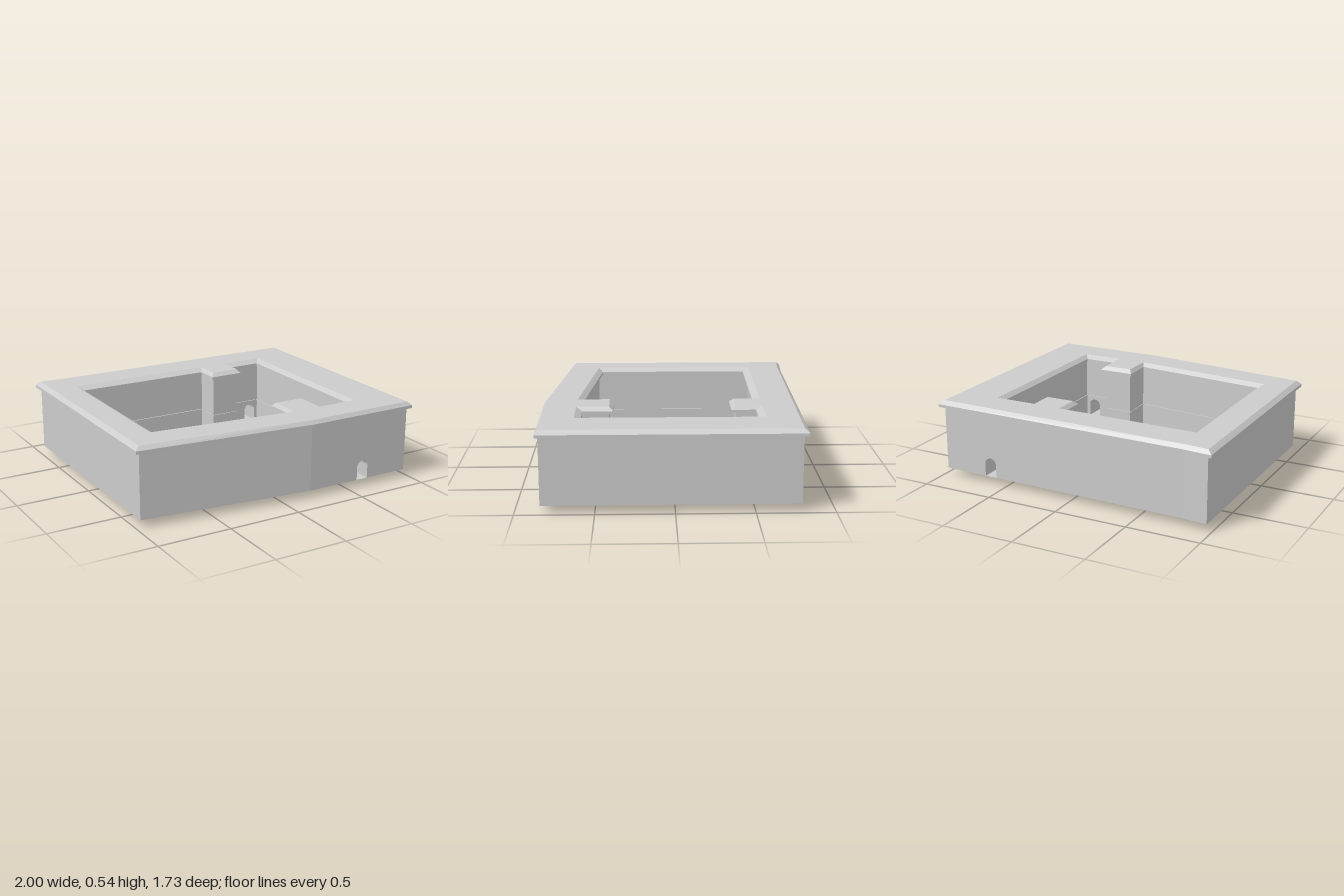
import * as THREE from 'three';

const material = new THREE.MeshStandardMaterial({ color: 0xcccccc, flatShading: true, side: THREE.DoubleSide });

// Plan outlines as [x, z]
const wallOut = [[-0.97, -0.84], [-0.8, -0.825], [0.97, -0.79], [0.97, 0.84], [0.2, 0.84], [-0.97, 0.71]];
const lipOut = [[-1, -0.865], [-0.8, -0.85], [1, -0.82], [1, 0.86], [0.2, 0.86], [-1, 0.735]];
const wallIn = [[-0.8, -0.605], [0.2, -0.59], [0.2, -0.415], [0.395, -0.415], [0.395, -0.585], [0.685, -0.585],
  [0.685, 0.635], [0.4, 0.635], [0.4, 0.42], [0.2, 0.42], [0.2, 0.635], [-0.8, 0.53]];
const lipIn = [[-0.76, -0.56], [0.175, -0.545], [0.175, -0.385], [0.412, -0.385], [0.412, -0.545], [0.655, -0.545],
  [0.655, 0.595], [0.428, 0.595], [0.428, 0.392], [0.18, 0.392], [0.18, 0.6], [-0.76, 0.5]];
const pit = [wallIn[0], wallIn[1], wallIn[10], wallIn[11]];

const FLOOR = 0.05, UNDER = 0.49, LIP = 0.51, TOP = 0.535, LEDGE = 0.2;
const arch = { x: 0.617, r: 0.0425, spring: 0.1375 };

const at = (poly, y) => poly.map(([x, z]) => new THREE.Vector3(x, y, z));

function add(parent, name, geometry) {
  const mesh = new THREE.Mesh(geometry, material);
  mesh.name = name;
  parent.add(mesh);
}

// Quads joining two rows of points
function strip(a, b, closed = true) {
  const pts = [];
  const n = closed ? a.length : a.length - 1;
  for (let i = 0; i < n; i++) {
    const j = (i + 1) % a.length;
    pts.push(a[i], b[i], b[j], a[i], b[j], a[j]);
  }
  const g = new THREE.BufferGeometry().setFromPoints(pts);
  g.computeVertexNormals();
  return g;
}

// Horizontal sheet with an optional hole
function sheet(outline, y, hole) {
  const shape = new THREE.Shape(outline.map(([x, z]) => new THREE.Vector2(x, -z)));
  if (hole) shape.holes.push(new THREE.Path(hole.map(([x, z]) => new THREE.Vector2(x, -z))));
  return new THREE.ShapeGeometry(shape).rotateX(-Math.PI / 2).translate(0, y, 0);
}

// Upright wall panel from a to b, optionally cut by the arched opening
function panel(a, b, y0, y1, cut) {
  const dx = b[0] - a[0], dz = b[1] - a[1], len = Math.hypot(dx, dz);
  const s = new THREE.Shape();
  s.moveTo(0, y0);
  if (cut) {
    const u = (arch.x - a[0]) / dx * len;
    s.lineTo(u - arch.r, y0);
    s.lineTo(u - arch.r, arch.spring);
    s.absarc(u, arch.spring, arch.r, Math.PI, 0, true);
    s.lineTo(u + arch.r, y0);
  }
  s.lineTo(len, y0);
  s.lineTo(len, y1);
  s.lineTo(0, y1);
  return new THREE.ShapeGeometry(s, 12).rotateY(-Math.atan2(dz, dx)).translate(a[0], 0, a[1]);
}

function walls(name, poly, bottoms, cuts) {
  const group = new THREE.Group();
  group.name = name;
  poly.forEach((p, i) => add(group, name + 'Panel',
    panel(p, poly[(i + 1) % poly.length], bottoms[i], UNDER, cuts.includes(i))));
  return group;
}

// Lining of the arched opening between two z positions
function tunnel(z0, z1) {
  const row = z => {
    const pts = [new THREE.Vector3(arch.x - arch.r, FLOOR, z)];
    for (let i = 0; i <= 12; i++) {
      const t = Math.PI * (1 - i / 12);
      pts.push(new THREE.Vector3(arch.x + arch.r * Math.cos(t), arch.spring + arch.r * Math.sin(t), z));
    }
    pts.push(new THREE.Vector3(arch.x + arch.r, FLOOR, z));
    return pts;
  };
  return strip(row(z0), row(z1), false);
}

export function createModel() {
  const model = new THREE.Group();
  model.name = 'walledBasin';

  // Walls: the deep pit side reaches y = 0, the shallow side stops at its floor
  model.add(walls('outerWall', wallOut, wallOut.map(() => FLOOR), [1, 3]));
  const low = [0, 0, 0, FLOOR, FLOOR, FLOOR, FLOOR, FLOOR, 0, 0, 0, 0];
  model.add(walls('innerWall', wallIn, low, [4, 6]));

  // Floors and the step between them
  add(model, 'upperFloor', sheet(wallOut, FLOOR, pit));
  add(model, 'pitFloor', sheet(pit, 0));
  add(model, 'floorStep', panel(wallIn[2], wallIn[9], 0, FLOOR));

  // Arched openings, front and back
  add(model, 'frontArchLining', tunnel(0.84, 0.635));
  add(model, 'backArchLining', tunnel(-0.797, -0.585));

  // Coping: flat top, bevels, upright lips and undersides
  const coping = new THREE.Group();
  coping.name = 'coping';
  model.add(coping);
  add(coping, 'copingTop', sheet(wallOut, TOP, wallIn));
  for (const [side, wall, lip] of [['outer', wallOut, lipOut], ['inner', wallIn, lipIn]]) {
    add(coping, side + 'Bevel', strip(at(wall, TOP), at(lip, LIP)));
    add(coping, side + 'Lip', strip(at(lip, LIP), at(lip, UNDER)));
    add(coping, side + 'Underside', strip(at(lip, UNDER), at(wall, UNDER)));
  }

  // Thin ledge line around the inner walls
  const ledge = wallIn.map(([x, z], i) => [x + (lipIn[i][0] - x) * 0.2, z + (lipIn[i][1] - z) * 0.2]);
  add(model, 'ledgeTop', strip(at(wallIn, LEDGE + 0.01), at(ledge, LEDGE + 0.01)));
  add(model, 'ledgeFace', strip(at(ledge, LEDGE + 0.01), at(ledge, LEDGE)));
  add(model, 'ledgeUnderside', strip(at(ledge, LEDGE), at(wallIn, LEDGE)));

  return model;
}
